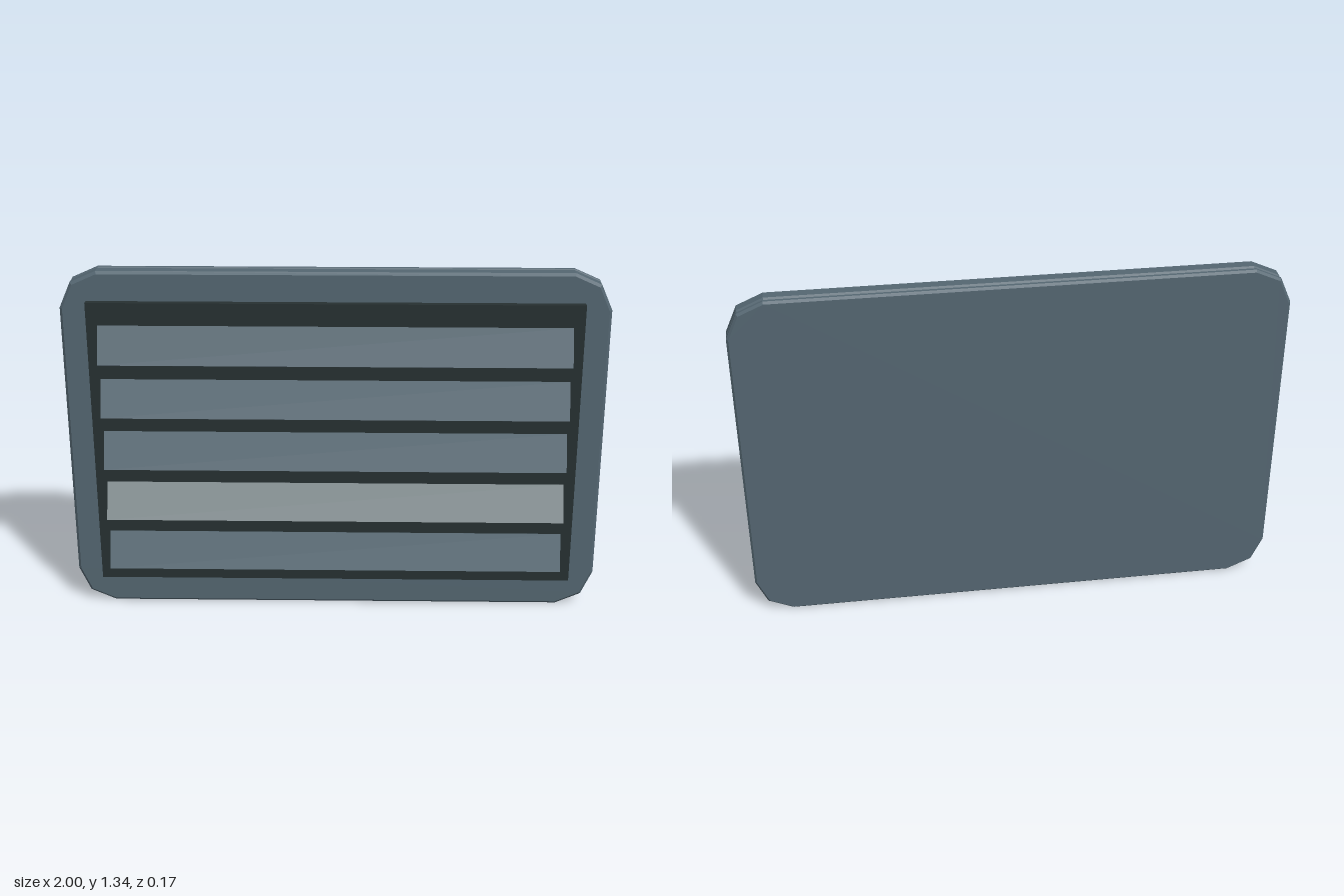
import * as THREE from 'three';

const HALF_W = 1, HEIGHT = 1.335, BEVEL = 0.01;

// Rectangle with two-step faceted corners, shrunk by an inset
function outline(inset) {
  const w = HALF_W - inset, h = HEIGHT / 2 - inset;
  const corner = [[w, h - 0.13], [w - 0.04, h - 0.04], [w - 0.13, h]];
  const flipped = [...corner].reverse();
  const points = [
    ...corner,
    ...flipped.map(([x, y]) => [-x, y]),
    ...corner.map(([x, y]) => [-x, -y]),
    ...flipped.map(([x, y]) => [x, -y]),
  ];
  return new THREE.Shape(points.map(([x, y]) => new THREE.Vector2(x, y)));
}

// Bevelled plate filling the depth from back to front
function plate(name, back, front, bevel, material) {
  const geometry = new THREE.ExtrudeGeometry(outline(bevel), {
    depth: front - back - 2 * bevel,
    bevelEnabled: true, bevelThickness: bevel, bevelSize: bevel, bevelSegments: 1,
  });
  const mesh = new THREE.Mesh(geometry, material);
  mesh.name = name;
  mesh.position.set(0, HEIGHT / 2, back + bevel);
  return mesh;
}

export function createModel() {
  const model = new THREE.Group();
  model.name = 'louvredVent';

  const steel = new THREE.MeshStandardMaterial({ color: 0x546671 });
  steel.name = 'blue grey steel';
  const dark = new THREE.MeshStandardMaterial({ color: 0x263031 });
  dark.name = 'dark recess';
  const pale = new THREE.MeshStandardMaterial({ color: 0x828d90 });
  pale.name = 'pale grey steel';

  // Two stacked plates with a fine groove between them
  model.add(plate('frontFrame', -0.058, 0, BEVEL, steel));
  model.add(plate('backPlate', -0.085, -0.058, 0.008, steel));

  // Dark panel behind the slats
  const panel = new THREE.Mesh(new THREE.BoxGeometry(1.805, 1.11, 0.03), dark);
  panel.name = 'recessPanel';
  panel.position.set(0, 0.67, 0.01);
  model.add(panel);

  // Five tilted slats, one of them in a paler metal
  const slatGeometry = new THREE.BoxGeometry(1.72, 0.145, 0.012);
  for (let i = 0; i < 5; i++) {
    const slat = new THREE.Mesh(slatGeometry, i === 3 ? pale : steel);
    slat.name = `slat${i + 1}`;
    slat.position.set(0, 1.073 - i * 0.206, 0.053);
    slat.rotation.x = -0.4;
    model.add(slat);
  }
  return model;
}
